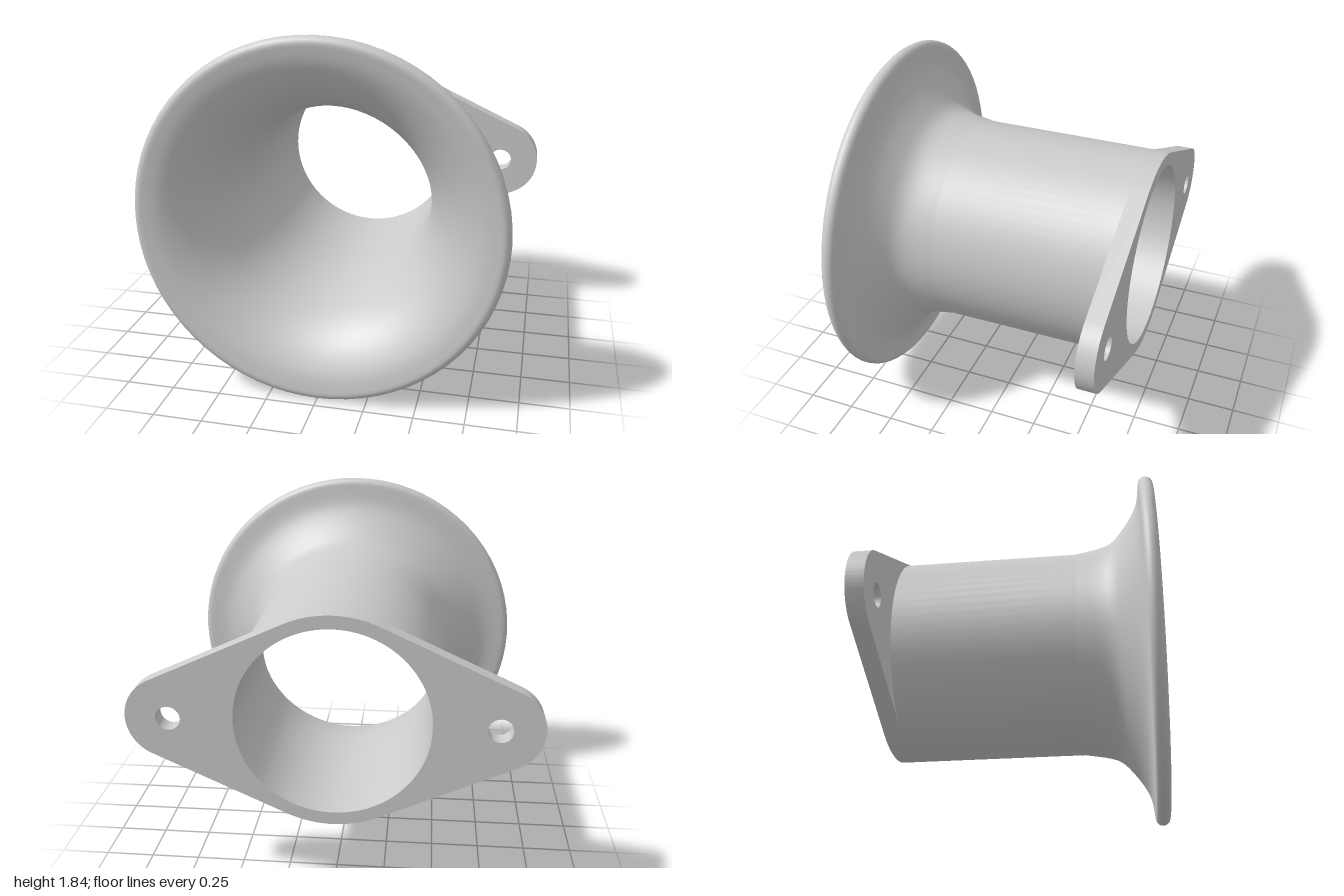
import * as THREE from 'three';
import { toCreasedNormals } from 'three/addons/utils/BufferGeometryUtils.js';

const CY = 0.925;                    // height of the bore axis
const BACK = -0.715, FLANGE_FRONT = -0.625;
const TUBE_R = 0.54, BORE_R = 0.475;
const EAR_X = 0.79, EAR_R = 0.21, HOLE_R = 0.06;

// Smooth list of [radius, z] points through a few control points
function curve(points, n) {
  return new THREE.SplineCurve(points.map(([r, z]) => new THREE.Vector2(r, z))).getPoints(n);
}

function circlePath(x, y, r) {
  const p = new THREE.Path();
  p.absarc(x, y, r, 0, Math.PI * 2, true);
  return p;
}

export function createModel() {
  const group = new THREE.Group();
  const material = new THREE.MeshStandardMaterial({ color: 0xcccccc, side: THREE.DoubleSide });

  // Trumpet: straight tube, flared bell and rolled lip as one closed profile
  const outer = curve([[TUBE_R, 0.28], [0.575, 0.45], [0.655, 0.54], [0.77, 0.612], [0.885, 0.633]], 20);
  const lip = [];
  for (let i = 0; i <= 10; i++) {
    const a = -Math.PI / 2 + (i / 10) * Math.PI;
    lip.push(new THREE.Vector2(0.885 + 0.036 * Math.cos(a), 0.669 + 0.036 * Math.sin(a)));
  }
  const inner = curve([[0.885, 0.705], [0.78, 0.68], [0.66, 0.6], [0.565, 0.47], [0.505, 0.28], [0.48, 0.08], [BORE_R, -0.1]], 28);
  const profile = [
    new THREE.Vector2(BORE_R, BACK),
    new THREE.Vector2(TUBE_R, BACK),
    ...outer, ...lip.slice(1), ...inner.slice(1),
    new THREE.Vector2(BORE_R, BACK),
  ];
  const bellGeometry = new THREE.LatheGeometry(profile, 72);
  bellGeometry.rotateX(Math.PI / 2);
  const bell = new THREE.Mesh(toCreasedNormals(bellGeometry, 0.7), material);
  bell.name = 'trumpetTube';
  bell.position.y = CY;
  group.add(bell);

  // Mounting flange: outline tangent to the tube and to the two rounded ears
  const t = Math.acos((TUBE_R - EAR_R) / EAR_X);
  const outline = new THREE.Shape();
  outline.absarc(EAR_X, 0, EAR_R, -t, t, false);
  outline.absarc(0, 0, TUBE_R, t, Math.PI - t, false);
  outline.absarc(-EAR_X, 0, EAR_R, Math.PI - t, Math.PI + t, false);
  outline.absarc(0, 0, TUBE_R, Math.PI + t, 2 * Math.PI - t, false);
  outline.closePath();
  outline.holes.push(circlePath(0, 0, BORE_R));
  for (const side of [-1, 1]) outline.holes.push(circlePath(side * EAR_X, 0, HOLE_R));

  const flangeGeometry = new THREE.ExtrudeGeometry(outline, {
    depth: FLANGE_FRONT - BACK, bevelEnabled: false, curveSegments: 36,
  });
  const flange = new THREE.Mesh(toCreasedNormals(flangeGeometry, 0.6), material);
  flange.name = 'mountingFlange';
  flange.position.set(0, CY, BACK);
  group.add(flange);

  return group;
}
